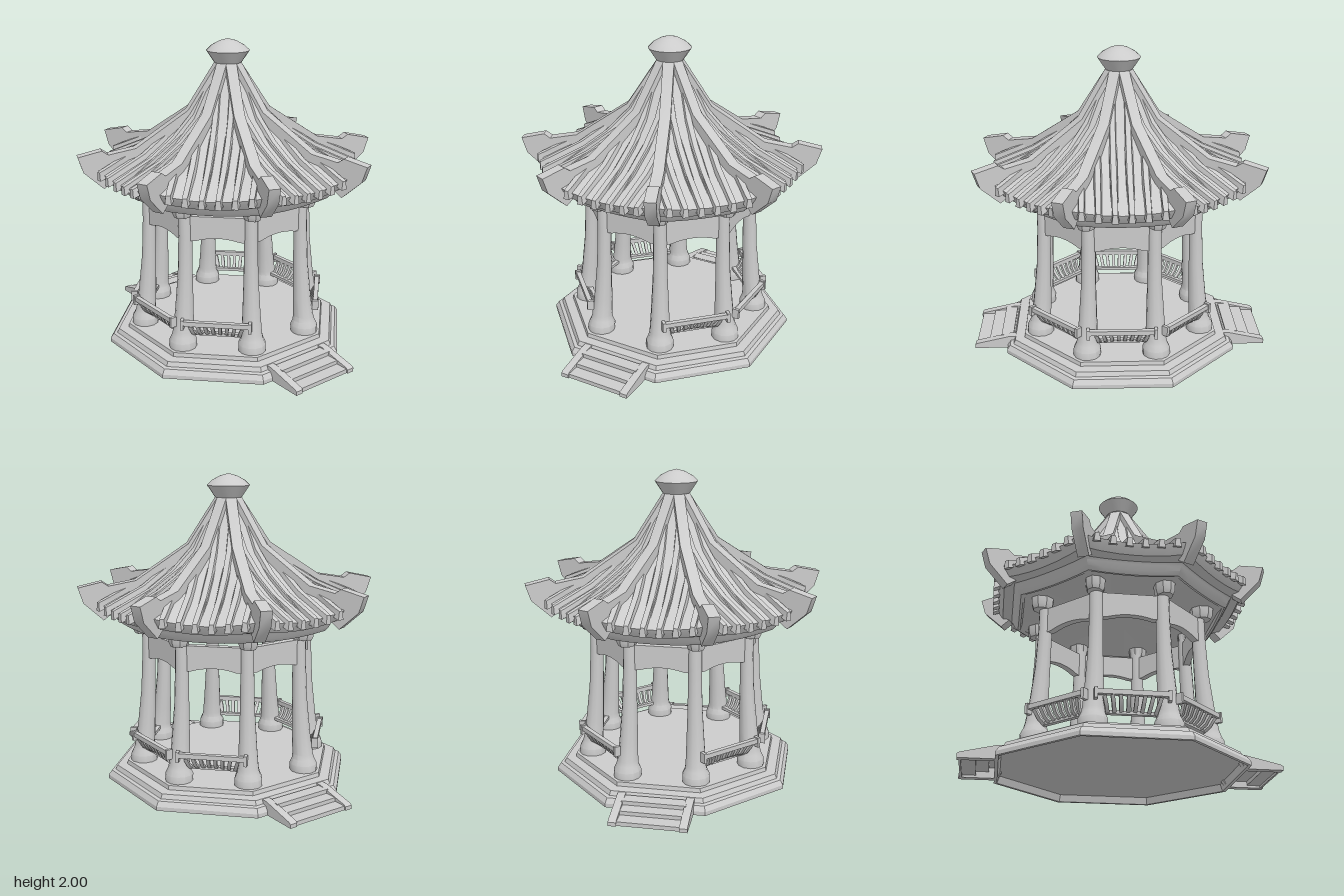
import * as THREE from 'three';
import { toCreasedNormals } from 'three/addons/utils/BufferGeometryUtils.js';

const mat = new THREE.MeshStandardMaterial({ color: 0xcccccc });
const STEP = Math.PI / 4;
const TAN = Math.tan(Math.PI / 8);

function mesh(name, geometry, x = 0, y = 0, z = 0) {
  const m = new THREE.Mesh(toCreasedNormals(geometry, 0.55), mat);
  m.name = name;
  m.position.set(x, y, z);
  return m;
}

// Eight copies around the centre; parts are built with +x as outward.
function around(name, build, { corner = false, skip = [] } = {}) {
  const g = new THREE.Group();
  g.name = name + 's';
  for (let k = 0; k < 8; k++) {
    if (skip.includes(k)) continue;
    const part = new THREE.Group();
    part.name = name;
    part.add(...build());
    part.rotation.y = (k + (corner ? 0.5 : 0)) * STEP;
    g.add(part);
  }
  return g;
}

// Octagonal body from a descending profile of [apothem, y].
function octagonLoft(profile, sub = 1, lift = () => 0) {
  const pos = [], idx = [], n = 8 * sub;
  for (const [a, y] of profile) {
    for (let j = 0; j < n; j++) {
      const t = ((j % sub) / sub) * 2 - 1, th = Math.floor(j / sub) * STEP, l = a * TAN * t;
      pos.push(a * Math.cos(th) - l * Math.sin(th), y + lift(a, t), a * Math.sin(th) + l * Math.cos(th));
    }
  }
  for (let i = 0; i < profile.length - 1; i++) {
    for (let j = 0; j < n; j++) {
      const p = i * n + j, q = i * n + (j + 1) % n;
      if (profile[i][0] > 0) idx.push(p, q, p + n);
      if (profile[i + 1][0] > 0) idx.push(q, q + n, p + n);
    }
  }
  const g = new THREE.BufferGeometry();
  g.setAttribute('position', new THREE.Float32BufferAttribute(pos, 3));
  g.setIndex(idx);
  return g;
}

// Outline in (outward, up), thickened sideways about z = 0.
function slab(points, width) {
  const shape = new THREE.Shape(points.map(([x, y]) => new THREE.Vector2(x, y)));
  return new THREE.ExtrudeGeometry(shape, { depth: width, bevelEnabled: false }).translate(0, 0, -width / 2);
}

const lathe = (points, sides) => new THREE.LatheGeometry(points.map(([r, y]) => new THREE.Vector2(r, y)), sides);

// Linear interpolation through a list of [key, value].
function lerpList(list, v) {
  let i = 0;
  while (i < list.length - 2 && v > list[i + 1][0]) i++;
  const [a, b] = [list[i], list[i + 1]];
  return a[1] + (b[1] - a[1]) * (v - a[0]) / (b[0] - a[0]);
}

const ROOF = [[0, 1.85], [0.07, 1.82], [0.25, 1.51], [0.4, 1.375], [0.56, 1.275], [0.8, 1.175]];
const eaveLift = (a, t) => 0.04 * (a / 0.8) ** 3 * t * t;

// Column with a flared foot, leaning in as it rises
function columnParts() {
  const shaft = lathe([[0, 0.12], [0.088, 0.12], [0.088, 0.165], [0.072, 0.2], [0.066, 0.23], [0.059, 0.35],
    [0.047, 0.6], [0.043, 0.85], [0.043, 1.06]], 12);
  const lean = [[0.12, 0.577], [0.2, 0.573], [0.35, 0.557], [0.6, 0.54], [0.9, 0.53], [1.06, 0.53]];
  const p = shaft.attributes.position;
  for (let i = 0; i < p.count; i++) p.setX(i, p.getX(i) + lerpList(lean, p.getY(i)));
  const capital = lathe([[0, 0.985], [0.05, 0.985], [0.06, 1.01], [0.064, 1.07]], 8).scale(1.2, 1, 1);
  return [mesh('shaft', shaft), mesh('capital', capital, 0.558)];
}

// Lintel with a shallow arch below
function beamParts() {
  const s = new THREE.Shape();
  s.moveTo(-0.205, 0.985);
  s.lineTo(-0.205, 0.822);
  s.lineTo(-0.14, 0.825);
  s.quadraticCurveTo(0, 0.868, 0.14, 0.825);
  s.lineTo(0.205, 0.822);
  s.lineTo(0.205, 0.985);
  const g = new THREE.ExtrudeGeometry(s, { depth: 0.045, bevelEnabled: false, curveSegments: 8 });
  return [mesh('beam', g.rotateY(Math.PI / 2), 0.468)];
}

// Outward-leaning balustrade with fanned balusters
function railingParts() {
  const parts = [
    mesh('topRail', new THREE.BoxGeometry(0.03, 0.03, 0.43), 0.603, 0.309, 0),
    mesh('bottomRail', new THREE.BoxGeometry(0.03, 0.02, 0.34), 0.53, 0.212, 0),
  ];
  for (const s of [-1, 1]) parts.push(mesh('railEnd', new THREE.BoxGeometry(0.042, 0.065, 0.02), 0.603, 0.3, s * 0.213));
  const outline = [[0.52, 0.21], [0.54, 0.21], [0.58, 0.24], [0.612, 0.3], [0.592, 0.3], [0.563, 0.25]];
  for (let i = 0; i < 8; i++) {
    const u = i / 3.5 - 1;
    const baluster = mesh('baluster', slab(outline, 0.022), 0, 0, u * 0.075);
    baluster.rotation.x = u * 0.3;
    parts.push(baluster);
  }
  return parts;
}

// Tile ribs running down one roof face, narrower on top and at the tail
function ribParts() {
  return [-0.24, -0.144, -0.048, 0.048, 0.144, 0.24].map((z) => {
    const start = Math.abs(z) / TAN;
    const surface = (a) => lerpList(ROOF, a) + eaveLift(a, z / (a * TAN));
    const stops = [start, ...ROOF.map((p) => p[0]).filter((a) => a > start + 0.01), 0.83];
    const line = (d) => stops.map((a) => [a, surface(a) + d]);
    const rib = slab([...line(-0.025), ...line(0.03).reverse()], 0.05);
    const p = rib.attributes.position;
    for (let i = 0; i < p.count; i++) {
      const a = p.getX(i), narrow = p.getY(i) > surface(a) ? 0.65 : 1;
      p.setZ(i, p.getZ(i) * narrow * (a > 0.81 ? 0.8 : 1));
    }
    return mesh('tileRib', rib, 0, 0, z);
  });
}

// Hip ridge with its upturned end block
function ridgeParts() {
  const outline = [[0.06, 1.75], [0.27, 1.46], [0.6, 1.25], [0.76, 1.2], [0.76, 1.13], [0.82, 1.085], [0.945, 1.2],
    [0.977, 1.3], [0.825, 1.333], [0.785, 1.305], [0.61, 1.335], [0.27, 1.56], [0.06, 1.88]];
  return [mesh('hipRidge', slab(outline, 0.07))];
}

// Thin folded treads between sloping side walls, open underneath
function stairs() {
  const g = new THREE.Group();
  g.name = 'stairs';
  const treads = [[0.965, 0], [0.965, 0.027], [0.88, 0.027], [0.88, 0.052], [0.8, 0.052], [0.8, 0.078], [0.72, 0.078],
    [0.72, 0.066], [0.788, 0.066], [0.788, 0.04], [0.868, 0.04], [0.868, 0.015], [0.953, 0.015], [0.953, 0]];
  g.add(mesh('treads', slab(treads, 0.4)));
  const wall = [[0.74, 0], [0.975, 0], [0.975, 0.025], [0.96, 0.035], [0.74, 0.085], [0.7, 0.085], [0.7, 0.06]];
  for (const s of [-1, 1]) g.add(mesh('stairWall', slab(wall, 0.05), 0, 0, s * 0.215));
  return g;
}

export function createModel() {
  const model = new THREE.Group();
  model.name = 'pavilion';

  // Stepped base, hollowed below
  model.add(mesh('base', octagonLoft([[0, 0.118], [0.635, 0.118], [0.64, 0.092], [0.7, 0.088], [0.712, 0.06],
    [0.735, 0.055], [0.755, 0.025], [0.755, 0], [0.735, 0], [0.72, 0.045], [0, 0.045]])));

  for (const s of [-1, 1]) {
    const st = stairs();
    st.rotation.y = s * Math.PI / 2;
    model.add(st);
  }

  model.add(around('column', columnParts, { corner: true }));
  model.add(around('beam', beamParts));
  // The front and back bays stay open for the stairs
  model.add(around('railing', railingParts, { skip: [2, 6] }));

  // Roof skin, fascia and ceiling in one closed body
  const eaves = [[0.79, 1.155], [0.762, 1.115], [0.7, 1.11], [0.69, 1.096], [0.675, 1.065], [0.655, 1.042],
    [0.64, 1.042], [0.63, 1.06], [0, 1.06]];
  const skin = octagonLoft([...ROOF, ...eaves], 6, (a, t) => {
    if (a > 0.705 || a < 0.6) return eaveLift(a, t);
    return a > 0.635 ? 0.015 * t * t : 0;
  });
  model.add(mesh('roof', skin));
  model.add(around('roofRibs', ribParts));
  model.add(around('hipRidge', ridgeParts, { corner: true }));

  // Finial
  model.add(mesh('finial', lathe([[0, 1.845], [0.087, 1.85], [0.138, 1.926], [0.105, 1.958], [0.055, 1.985], [0, 2]], 24)));
  return model;
}
